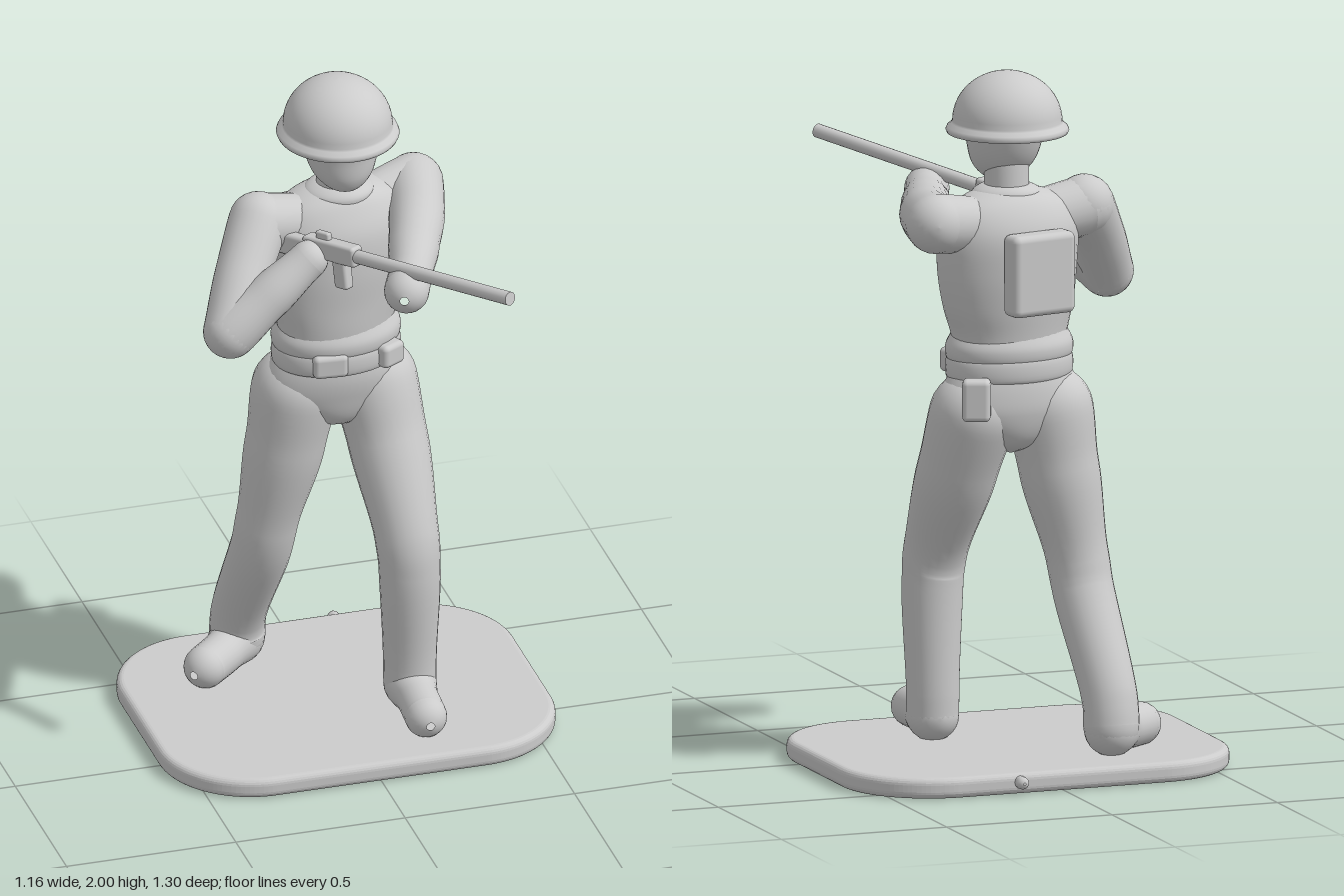
import * as THREE from 'three';
import { RoundedBoxGeometry } from 'three/addons/geometries/RoundedBoxGeometry.js';

const V = (x, y, z) => new THREE.Vector3(x, y, z);
const mat = new THREE.MeshStandardMaterial({ color: 0xcccccc });

function add(parent, name, geometry) {
  const m = new THREE.Mesh(geometry, mat);
  m.name = name;
  parent.add(m);
  return m;
}

// Smooth skin over a stack of closed rings of points
function skin(rings) {
  const n = rings[0].length, idx = [];
  for (let i = 0; i < rings.length - 1; i++) {
    for (let j = 0; j < n; j++) {
      const k = (j + 1) % n, a = i * n, b = a + n;
      idx.push(a + j, a + k, b + j, a + k, b + k, b + j);
    }
  }
  const g = new THREE.BufferGeometry().setFromPoints(rings.flat());
  g.setIndex(idx);
  g.computeVertexNormals();
  return g;
}

// Round limb through points [x, y, z, radius], with domed ends
function limb(points, sides = 24) {
  const curve = new THREE.CatmullRomCurve3(points.map(p => V(p[0], p[1], p[2])), false, 'centripetal');
  const steps = 8 * (points.length - 1), frames = curve.computeFrenetFrames(steps);
  const rings = [];
  const ring = (c, r, f) => rings.push(Array.from({ length: sides }, (_, j) => {
    const a = j / sides * Math.PI * 2;
    return c.clone().addScaledVector(frames.normals[f], r * Math.cos(a))
      .addScaledVector(frames.binormals[f], r * Math.sin(a));
  }));
  const dome = (f, sign) => {
    const p = points[f ? points.length - 1 : 0], c = V(p[0], p[1], p[2]);
    for (let k = 0; k < 8; k++) {
      const a = (sign < 0 ? k : 7 - k) / 8 * Math.PI / 2 + (sign < 0 ? 0 : Math.PI / 16);
      const lift = sign < 0 ? Math.cos(a) : Math.cos(Math.PI / 2 - (Math.PI / 2 - a));
      const wide = Math.sin(a);
      ring(c.clone().addScaledVector(frames.tangents[f], sign * p[3] * lift), p[3] * wide + 1e-4, f);
    }
  };
  dome(0, -1);
  for (let i = 0; i <= steps; i++) {
    const t = i / 8, s = Math.min(Math.floor(t), points.length - 2), u = t - s;
    const e = u * u * (3 - 2 * u);
    ring(curve.getPoint(i / steps), THREE.MathUtils.lerp(points[s][3], points[s + 1][3], e), i);
  }
  dome(steps, 1);
  return skin(rings);
}

// Upright body from ellipses [y, rx, rz, cx, cz], turned about y
function body(sections, turn = 0, sides = 40) {
  const size = new THREE.CatmullRomCurve3(sections.map(s => V(s[1], s[0], s[2])), false, 'centripetal');
  const mid = new THREE.CatmullRomCurve3(sections.map(s => V(s[3], s[0], s[4])));
  const steps = 6 * (sections.length - 1), rings = [];
  for (let i = 0; i <= steps; i++) {
    const s = size.getPoint(i / steps), c = mid.getPoint(i / steps);
    rings.push(Array.from({ length: sides }, (_, j) => {
      const a = j / sides * Math.PI * 2;
      return V(Math.max(s.x, 0) * Math.sin(a), 0, Math.max(s.z, 0) * Math.cos(a))
        .applyAxisAngle(V(0, 1, 0), turn).add(V(c.x, s.y, c.z));
    }));
  }
  return skin(rings);
}

function box(parent, name, size, pos, turn = 0, r = 0.015) {
  const m = add(parent, name, new RoundedBoxGeometry(...size, 3, r));
  m.position.set(...pos);
  m.rotation.y = turn;
  return m;
}

function createBase(root) {
  const w = 0.56, d = 0.435, r = 0.25, s = new THREE.Shape();
  s.moveTo(-w + r, -d);
  s.lineTo(w - r, -d).absarc(w - r, -d + r, r, -Math.PI / 2, 0);
  s.lineTo(w, d - r).absarc(w - r, d - r, r, 0, Math.PI / 2);
  s.lineTo(-w + r, d).absarc(-w + r, d - r, r, Math.PI / 2, Math.PI);
  s.lineTo(-w, -d + r).absarc(-w + r, -d + r, r, Math.PI, Math.PI * 1.5);
  const g = new THREE.ExtrudeGeometry(s, {
    depth: 0.02, bevelThickness: 0.02, bevelSize: 0.02, bevelSegments: 5, curveSegments: 16,
  });
  g.rotateX(-Math.PI / 2).translate(0, 0.02, -0.175);
  add(root, 'base', g);
  add(root, 'baseNub', limb([[0.135, 0.035, -0.58, 0.02], [0.135, 0.035, -0.645, 0.018]], 12));
}

function createLegs(root) {
  add(root, 'leftLeg', limb([[0.125, 1.02, -0.225, 0.125], [0.15, 0.85, -0.165, 0.115],
    [0.17, 0.6, -0.045, 0.092], [0.175, 0.5, -0.035, 0.088], [0.18, 0.2, -0.05, 0.076], [0.18, 0.13, -0.05, 0.075]]));
  add(root, 'rightLeg', limb([[-0.105, 1.02, -0.23, 0.125], [-0.13, 0.85, -0.24, 0.115],
    [-0.175, 0.6, -0.265, 0.09], [-0.185, 0.5, -0.29, 0.088], [-0.21, 0.22, -0.43, 0.08], [-0.21, 0.14, -0.445, 0.08]]));
  add(root, 'leftBoot', limb([[0.18, 0.125, -0.05, 0.075], [0.175, 0.12, 0.05, 0.06], [0.17, 0.115, 0.14, 0.06]]));
  add(root, 'rightBoot', limb([[-0.21, 0.13, -0.445, 0.078], [-0.27, 0.12, -0.385, 0.063], [-0.34, 0.115, -0.325, 0.062]]));
}

function createTorso(root) {
  add(root, 'hips', body([[0.9, 0.0, 0.0, 0.01, -0.225], [0.94, 0.1, 0.09, 0.01, -0.225],
    [1.03, 0.21, 0.125, 0.01, -0.225], [1.09, 0.205, 0.13, 0.01, -0.22], [1.17, 0.165, 0.12, 0.01, -0.215]], 0.08));
  add(root, 'torso', body([[1.15, 0.165, 0.12, 0.01, -0.21], [1.25, 0.178, 0.13, 0.01, -0.21],
    [1.33, 0.2, 0.138, 0.015, -0.215], [1.44, 0.215, 0.148, 0.02, -0.22], [1.55, 0.215, 0.145, 0.02, -0.225],
    [1.62, 0.18, 0.115, 0.02, -0.225], [1.66, 0.1, 0.075, 0.02, -0.22], [1.67, 0, 0, 0.02, -0.22]], 0.2));
  add(root, 'jacketHem', body([[1.17, 0.15, 0.11, 0.01, -0.21], [1.18, 0.185, 0.137, 0.01, -0.21],
    [1.215, 0.19, 0.142, 0.01, -0.21], [1.255, 0.172, 0.125, 0.01, -0.21]], 0.1));
  add(root, 'belt', body([[1.12, 0.15, 0.11, 0.01, -0.21], [1.125, 0.185, 0.138, 0.01, -0.21],
    [1.185, 0.185, 0.138, 0.01, -0.21], [1.19, 0.15, 0.11, 0.01, -0.21]], 0.1));
  add(root, 'collar', body([[1.63, 0.1, 0.09, 0.02, -0.215], [1.655, 0.1, 0.09, 0.02, -0.215],
    [1.675, 0.07, 0.07, 0.02, -0.215], [1.68, 0.03, 0.03, 0.02, -0.215]]));
  box(root, 'frontPouch', [0.1, 0.07, 0.05], [-0.045, 1.16, -0.085], -0.1);
  box(root, 'frontPouch', [0.08, 0.07, 0.06], [0.135, 1.16, -0.11], 0.5);
  box(root, 'hipPouch', [0.08, 0.12, 0.065], [0.16, 1.085, -0.345], -0.4);
  box(root, 'backpack', [0.205, 0.235, 0.075], [-0.015, 1.445, -0.385], 0.2, 0.02);
}

function createHead(root) {
  add(root, 'neck', limb([[0.02, 1.6, -0.22, 0.064], [0.02, 1.74, -0.215, 0.064]]));
  add(root, 'head', body([[1.675, 0, 0, 0.02, -0.165], [1.69, 0.045, 0.05, 0.02, -0.165],
    [1.73, 0.085, 0.09, 0.02, -0.18], [1.79, 0.105, 0.112, 0.02, -0.195], [1.86, 0.11, 0.12, 0.02, -0.2],
    [1.92, 0, 0, 0.02, -0.2]]));
  // Brim underside, rolled edge, then the dome
  const profile = [[0, 1.85], [0.12, 1.835], [0.16, 1.822], [0.17, 1.824], [0.174, 1.833], [0.17, 1.842], [0.158, 1.852]];
  for (let i = 0; i <= 14; i++) {
    const a = i / 14 * Math.PI / 2;
    profile.push([0.155 * Math.cos(a), 1.858 + 0.142 * Math.sin(a)]);
  }
  const helmet = add(root, 'helmet', new THREE.LatheGeometry(profile.map(p => new THREE.Vector2(Math.max(p[0], 0), p[1])), 48));
  helmet.position.set(0.018, 0, -0.217);
  helmet.scale.z = 1.05;
}

function createArms(root) {
  add(root, 'leftArm', limb([[0.265, 1.59, -0.295, 0.085], [0.225, 1.58, -0.13, 0.08],
    [0.165, 1.572, 0.04, 0.073], [0.11, 1.572, 0.19, 0.062], [0.068, 1.572, 0.29, 0.064]]));
  add(root, 'leftShoulder', limb([[0.13, 1.57, -0.25, 0.08], [0.26, 1.59, -0.29, 0.085]]));
  add(root, 'rightShoulder', limb([[-0.1, 1.57, -0.2, 0.08], [-0.225, 1.59, -0.19, 0.085]]));
  add(root, 'rightUpperArm', limb([[-0.225, 1.595, -0.19, 0.085], [-0.3, 1.48, -0.095, 0.08], [-0.365, 1.36, 0.0, 0.077]]));
  add(root, 'rightForearm', limb([[-0.365, 1.36, 0.0, 0.077], [-0.25, 1.455, 0.0, 0.066], [-0.13, 1.55, -0.01, 0.055]]));
}

// Built along +z, then aimed
function createRifle(root) {
  const rifle = new THREE.Group();
  rifle.name = 'rifle';
  const barrel = add(rifle, 'barrel', new THREE.CylinderGeometry(0.02, 0.02, 0.62, 16));
  barrel.rotation.x = Math.PI / 2;
  barrel.position.z = 0.42;
  box(rifle, 'receiver', [0.045, 0.06, 0.2], [0, 0, 0.03], 0, 0.01);
  box(rifle, 'stock', [0.04, 0.065, 0.16], [0, -0.015, -0.13], 0, 0.012);
  box(rifle, 'magazine', [0.035, 0.12, 0.05], [0, -0.05, 0.06], 0, 0.01);
  box(rifle, 'rearSight', [0.02, 0.03, 0.05], [0, 0.035, 0.0], 0, 0.006);
  rifle.position.set(-0.085, 1.585, 0.0);
  rifle.lookAt(0.28, 1.692, 0.645);
  root.add(rifle);
}

export function createModel() {
  const root = new THREE.Group();
  root.name = 'toySoldier';
  [createBase, createLegs, createTorso, createHead, createArms, createRifle].forEach(part => part(root));
  return root;
}
